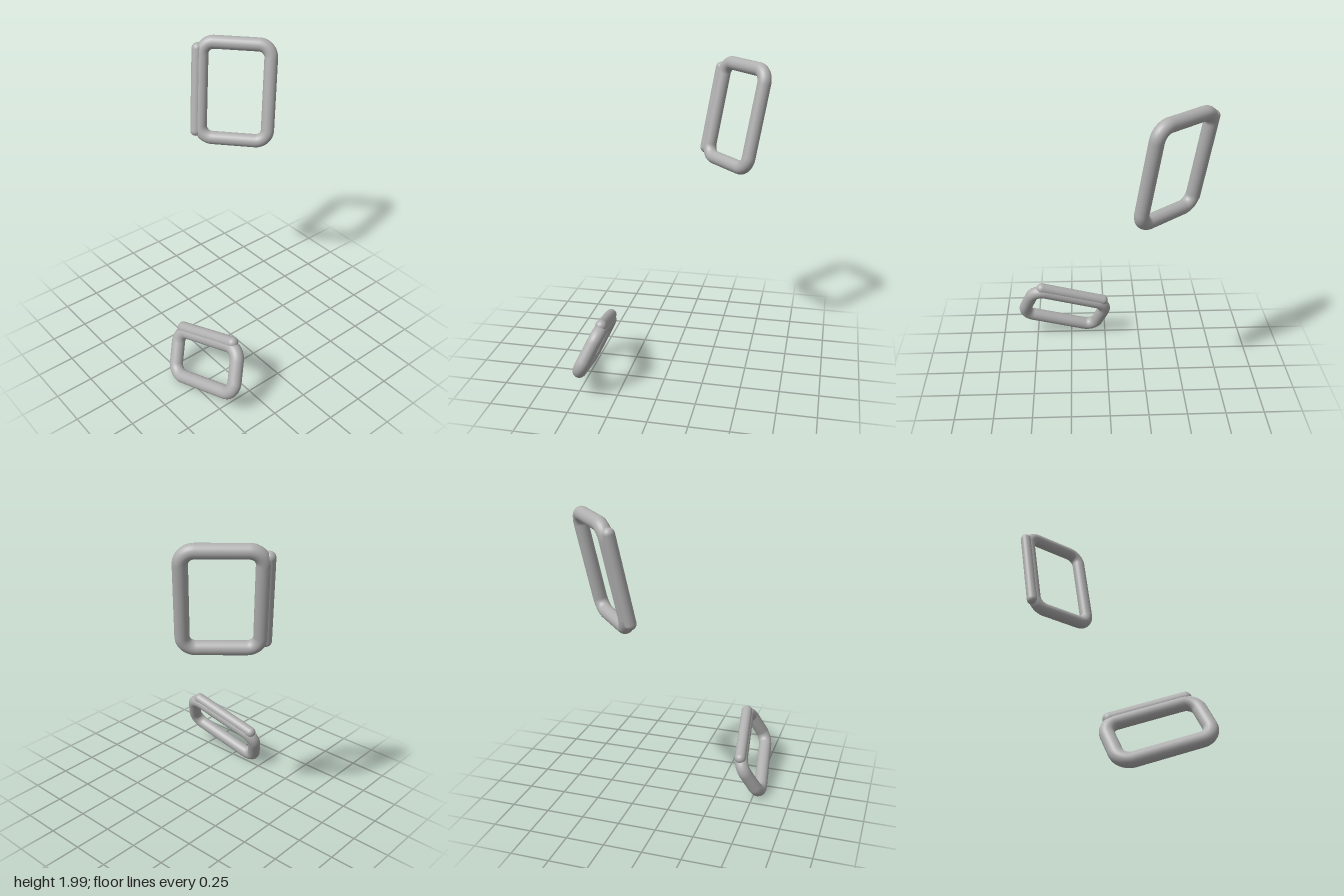
import * as THREE from 'three';

const TUBE = 0.044;      // bar radius of the loops
const CORNER = 0.08;     // corner radius along the bar centreline
const ROD = 0.037;       // radius of the extra rod on one side

// Rounded rectangle in the local xy plane, as a closed path
function loopPath(w, h) {
  const path = new THREE.CurvePath();
  const corners = [[1, -1], [1, 1], [-1, 1], [-1, -1]].map(([sx, sy]) => new THREE.Vector3(sx * w / 2, sy * h / 2, 0));
  const toward = (from, to) => from.clone().add(to.clone().sub(from).setLength(CORNER));
  corners.forEach((c, i) => {
    const next = corners[(i + 1) % 4];
    const after = corners[(i + 2) % 4];
    const arcStart = toward(next, c);
    const arcEnd = toward(next, after);
    const k = 0.5523;
    path.add(new THREE.LineCurve3(toward(c, next), arcStart));
    path.add(new THREE.CubicBezierCurve3(arcStart, arcStart.clone().lerp(next, k), arcEnd.clone().lerp(next, k), arcEnd));
  });
  return path;
}

// A loop with a round-ended rod lying along the outside of its -x side
function makeLink(name, w, h, material) {
  const link = new THREE.Group();
  link.name = name;
  const loop = new THREE.Mesh(new THREE.TubeGeometry(loopPath(w, h), 240, TUBE, 24, true), material);
  loop.name = 'loop';
  const rod = new THREE.Mesh(new THREE.CapsuleGeometry(ROD, h - 0.015 - 2 * ROD, 8, 24), material);
  rod.name = 'sideRod';
  rod.position.set(-w / 2 - 0.028, 0, 0.01);
  link.add(loop, rod);
  return link;
}

// Place a link by its centre and the directions of its across and along axes
function place(link, centre, across, along) {
  const x = new THREE.Vector3(...across).normalize();
  const z = x.clone().cross(new THREE.Vector3(...along)).normalize();
  const y = z.clone().cross(x);
  link.quaternion.setFromRotationMatrix(new THREE.Matrix4().makeBasis(x, y, z));
  link.position.set(...centre);
  return link;
}

export function createModel() {
  const model = new THREE.Group();
  const grey = new THREE.MeshStandardMaterial({ color: 0xb0b0b0 });
  grey.name = 'grey metal';
  model.add(
    place(makeLink('upperLink', 0.45, 0.634, grey), [0.346, 1.645, -0.381], [0.30, 0, 0.335], [0.1, 0.62, -0.088]),
    place(makeLink('lowerLink', 0.295, 0.552, grey), [-0.45, 0.238, 0.295], [-0.405, -0.854, 0.336], [0.132, 0.306, 0.943]),
  );
  return model;
}
